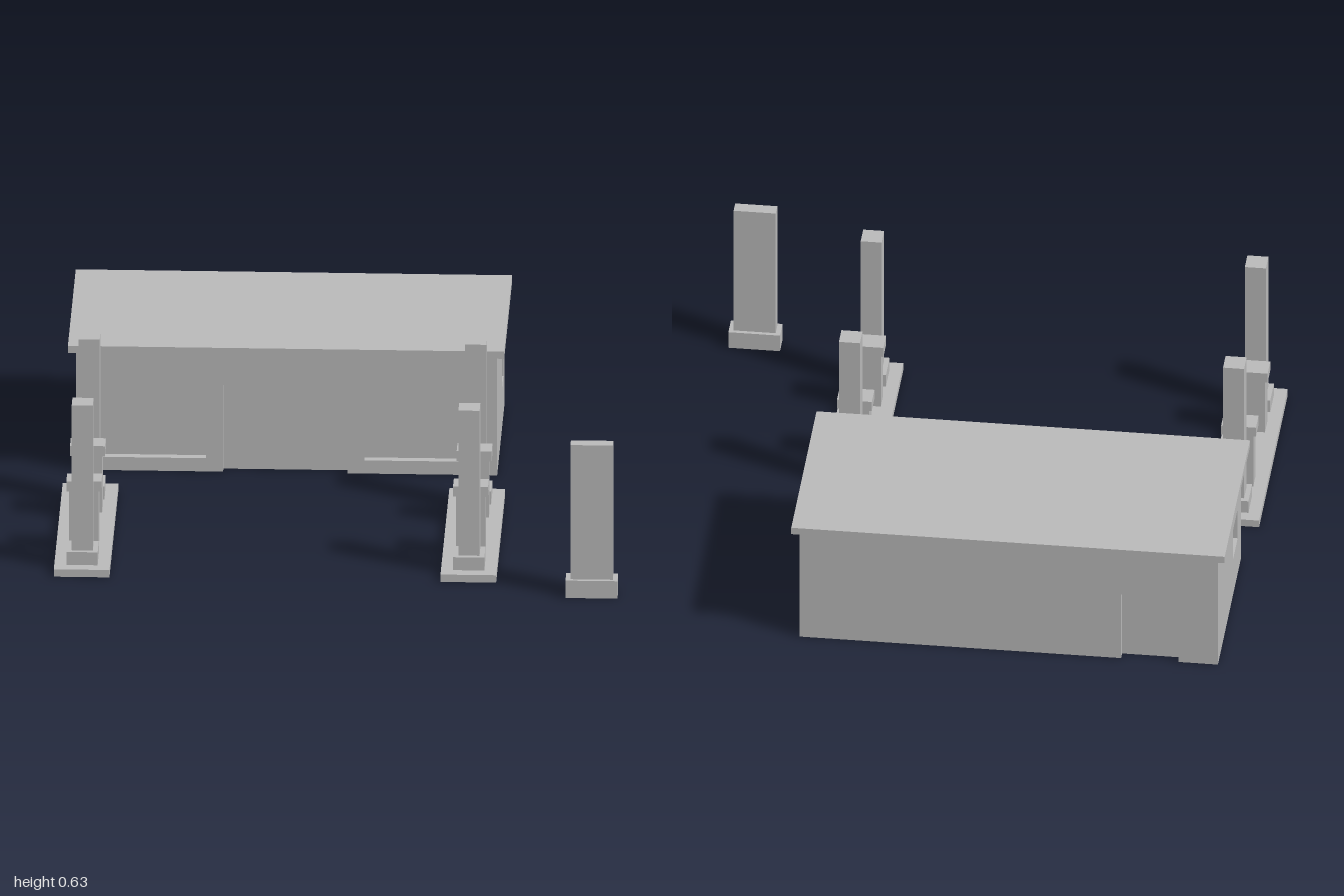
import * as THREE from 'three';

const grey = new THREE.MeshStandardMaterial({ color: 0xbbbbbb });
grey.name = 'plain grey';

// Box given by its limits on each axis
function block(name, [x0, x1], [y0, y1], [z0, z1]) {
  const mesh = new THREE.Mesh(new THREE.BoxGeometry(x1 - x0, y1 - y0, z1 - z0), grey);
  mesh.position.set((x0 + x1) / 2, (y0 + y1) / 2, (z0 + z1) / 2);
  mesh.name = name;
  return mesh;
}

// Box centred on x, z with a given base height
function post(name, x, z, w, d, y0, y1) {
  return block(name, [x - w / 2, x + w / 2], [y0, y1], [z - d / 2, z + d / 2]);
}

const toPoints = (pts) => pts.map(([x, y]) => new THREE.Vector2(x, y));
const rect = (x0, x1, y0, y1) => [[x0, y0], [x1, y0], [x1, y1], [x0, y1]];

// Building limits and wall thickness
const X0 = -0.96, X1 = 0.53, Z0 = -0.918, Z1 = -0.236, TOP = 0.455, T = 0.03, LINTEL = 0.34;

// Wall skin cut from an outline with optional openings, turned to face outwards
function wall(name, outline, openings, turn, x, z) {
  const shape = new THREE.Shape(toPoints(outline));
  openings.forEach((o) => shape.holes.push(new THREE.Path(toPoints(o))));
  const geometry = new THREE.ExtrudeGeometry(shape, { depth: T, bevelEnabled: false });
  const mesh = new THREE.Mesh(geometry, grey);
  mesh.rotation.y = turn;
  mesh.position.set(x, 0, z);
  mesh.name = name;
  return mesh;
}

// Frame round a shop window that reaches up to the fascia
function windowFrame(name, x0, x1, w0, w1) {
  const sill = 0.05;
  return wall(name, [
    [x0, 0], [x1, 0], [x1, LINTEL], [w1, LINTEL],
    [w1, sill], [w0, sill], [w0, LINTEL], [x0, LINTEL],
  ], [], 0, 0, Z1 - T);
}

function createBuilding() {
  const g = new THREE.Group();
  g.name = 'building';
  const zi0 = Z0 + T, zi1 = Z1 - T;
  // Core whose faces form the backs of the recesses
  g.add(block('core', [X0 + T, X1 - T], [0, TOP], [zi0, zi1]));

  // Front with two shop windows and an entrance between them
  g.add(windowFrame('frontWindowRight', X0, -0.44, -0.94, -0.5));
  g.add(windowFrame('frontWindowLeft', 0, X1, 0.06, 0.5));
  g.add(block('fascia', [X0, X1], [LINTEL, TOP], [zi1, -0.205]));

  // Back with a recessed door
  g.add(wall('backWall', [
    [-X1, 0], [0.615, 0], [0.615, 0.27], [0.82, 0.27],
    [0.82, 0], [-X0, 0], [-X0, TOP], [-X1, TOP],
  ], [], Math.PI, 0, zi0));

  // Sides, each with a small recessed window
  g.add(wall('leftWall', rect(-zi1, -zi0, 0, TOP),
    [rect(0.68, 0.82, 0.15, 0.275)], Math.PI / 2, X1 - T, 0));
  g.add(wall('rightWall', rect(zi0, zi1, 0, TOP),
    [rect(-0.475, -0.335, 0.15, 0.275)], -Math.PI / 2, X0 + T, 0));

  // Flat roof
  g.add(block('roof', [-0.988, 0.556], [TOP, 0.482], [-0.95, -0.204]));
  return g;
}

// Pump island with a pair of columns and a pair of pumps
function createIsland(x) {
  const g = new THREE.Group();
  g.name = 'pumpIsland';
  const zc = 0.388, deck = 0.028;
  g.add(post('islandSlab', x, zc, 0.197, 0.843, 0, deck));
  for (const s of [-1, 1]) {
    const zCol = zc + s * 0.322, zPump = zc + s * 0.173;
    g.add(post('columnBase', x, zCol, 0.11, 0.11, deck, 0.077));
    g.add(post('column', x, zCol, 0.075, 0.075, 0.077, 0.627));
    g.add(post('pumpBody', x, zPump, 0.104, 0.07, deck, 0.243));
    g.add(post('pumpCap', x, zPump, 0.124, 0.078, 0.243, 0.281));
  }
  return g;
}

// Free-standing sign
function createSign() {
  const g = new THREE.Group();
  g.name = 'sign';
  g.add(post('signBase', 0.908, 0.912, 0.184, 0.075, 0, 0.066));
  g.add(post('signPanel', 0.908, 0.912, 0.15, 0.047, 0.066, 0.575));
  return g;
}

export function createModel() {
  const model = new THREE.Group();
  model.name = 'fillingStation';
  model.add(createBuilding(), createIsland(-0.9015), createIsland(0.467), createSign());
  return model;
}
